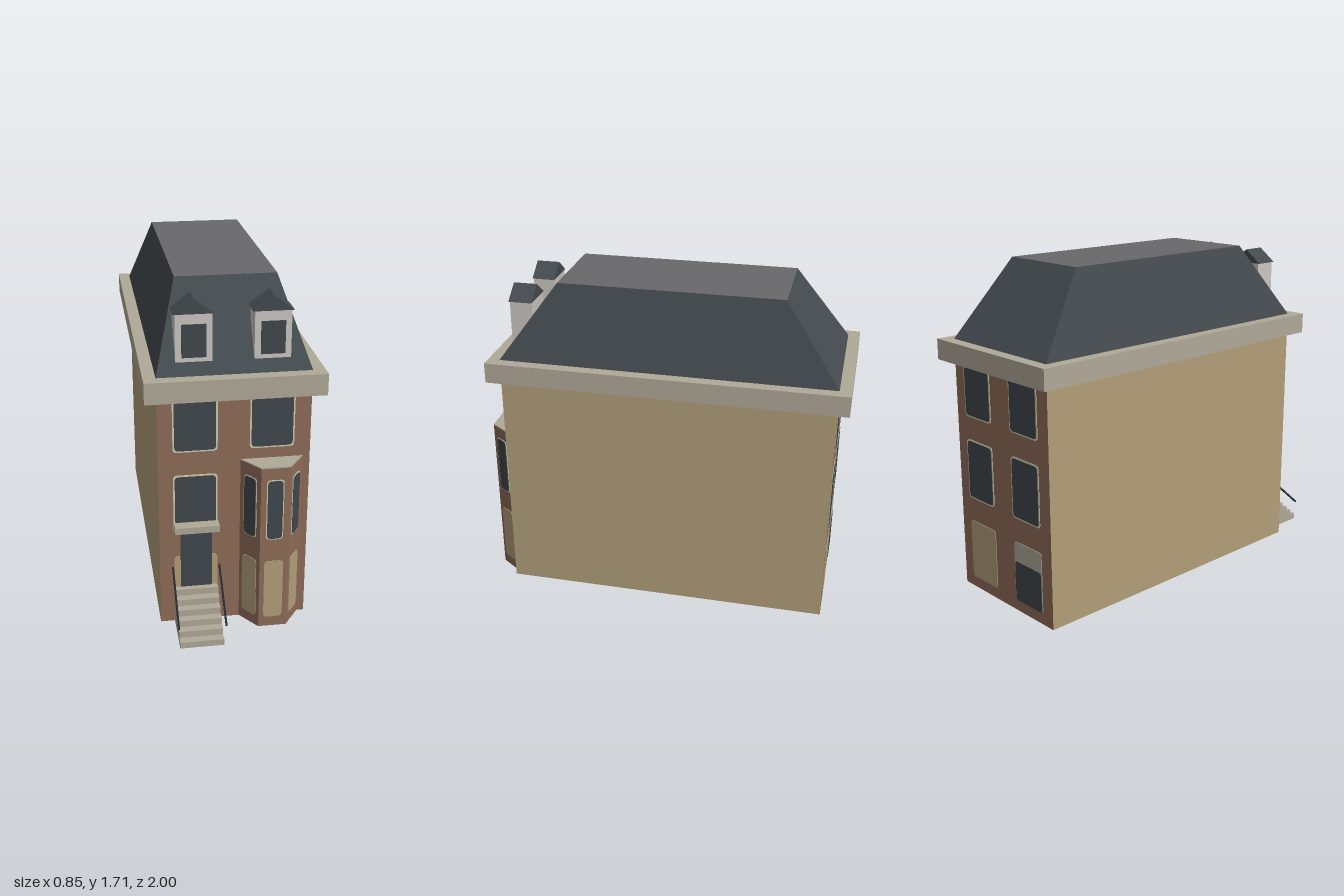
import * as THREE from 'three';

const mat = (name, color, double = false) => {
  const m = new THREE.MeshStandardMaterial({ color });
  m.name = name;
  if (double) m.side = THREE.DoubleSide;
  return m;
};

export function createModel() {
  const brick = mat('brick', 0x8e6b57, true);
  const render = mat('sandRender', 0xb29e79, true);
  const stone = mat('stone', 0xb0a998);
  const slate = mat('slate', 0x434a4e);
  const leadRoof = mat('leadRoof', 0x69676a);
  const glass = mat('darkGlass', 0x40474c);
  const trim = mat('creamTrim', 0xcfcab0);
  const dormerWhite = mat('dormerWhite', 0xcac6c0);
  const iron = mat('iron', 0x23292d);

  const house = new THREE.Group();
  house.name = 'townhouse';

  const add = (parent, name, geo, material, x = 0, y = 0, z = 0) => {
    const m = new THREE.Mesh(geo, material);
    m.name = name;
    m.position.set(x, y, z);
    parent.add(m);
    return m;
  };
  // box given by its limits
  const block = (parent, name, material, x0, x1, y0, y1, z0, z1) =>
    add(parent, name, new THREE.BoxGeometry(x1 - x0, y1 - y0, z1 - z0), material,
      (x0 + x1) / 2, (y0 + y1) / 2, (z0 + z1) / 2);

  // thin rounded plate straddling z = 0 of its parent
  const plate = (parent, name, material, x0, x1, y0, y1, t, r = 0.02) => {
    const s = new THREE.Shape();
    s.moveTo(x0 + r, y0);
    s.lineTo(x1 - r, y0).quadraticCurveTo(x1, y0, x1, y0 + r);
    s.lineTo(x1, y1 - r).quadraticCurveTo(x1, y1, x1 - r, y1);
    s.lineTo(x0 + r, y1).quadraticCurveTo(x0, y1, x0, y1 - r);
    s.lineTo(x0, y0 + r).quadraticCurveTo(x0, y0, x0 + r, y0);
    const g = new THREE.ExtrudeGeometry(s, { depth: t, bevelEnabled: false, curveSegments: 3 });
    return add(parent, name, g, material, 0, 0, -t / 2);
  };
  const framedWindow = (parent, x0, x1, y0, y1, b = 0.008) => {
    plate(parent, 'windowTrim', trim, x0, x1, y0, y1, 0.005);
    plate(parent, 'windowGlass', glass, x0 + b, x1 - b, y0 + b, y1 - b, 0.009);
  };

  // walls, open underneath
  const W = 0.365, H = 1.21, ZF = 0.765, ZB = -0.94;
  for (const s of [1, -1]) {
    const side = add(house, 'sideWall', new THREE.PlaneGeometry(ZF - ZB, H), render, s * W, H / 2, (ZF + ZB) / 2);
    side.rotation.y = s * Math.PI / 2;
  }
  const facade = (name, z, turn) => {
    const g = new THREE.Group();
    g.name = name;
    g.position.z = z;
    g.rotation.y = turn;
    house.add(g);
    add(g, 'brickWall', new THREE.PlaneGeometry(2 * W, H), brick, 0, H / 2, 0);
    for (const c of [-0.187, 0.18]) {
      for (const [y0, y1] of [[0.5, 0.815], [0.935, 1.25]]) framedWindow(g, c - 0.107, c + 0.107, y0, y1);
    }
    return g;
  };
  const front = facade('frontFacade', ZF, 0);
  const back = facade('backFacade', ZB, Math.PI);

  // ground floor panels and windows
  plate(front, 'blindPanel', render, -0.293, -0.08, 0.06, 0.375, 0.006);
  plate(front, 'lowWindow', glass, 0.075, 0.285, 0.04, 0.27, 0.006);
  plate(back, 'blindPanel', render, -0.293, -0.08, 0.06, 0.375, 0.006);
  plate(back, 'windowHead', stone, 0.075, 0.29, 0.06, 0.375, 0.005);
  plate(back, 'lowWindow', glass, 0.08, 0.285, 0.06, 0.27, 0.009);

  // door and canopy
  block(house, 'door', glass, -0.262, -0.107, 0.2, 0.535, ZF - 0.006, ZF + 0.006);
  block(house, 'doorCanopy', stone, -0.293, -0.077, 0.528, 0.562, ZF, ZF + 0.06);

  // entrance steps
  const profile = new THREE.Shape();
  const n = 6, run = 0.24 / n, rise = 0.2 / n;
  profile.moveTo(0.76, 0);
  profile.lineTo(1, 0);
  for (let i = 0; i < n; i++) {
    profile.lineTo(1 - i * run, (i + 1) * rise);
    profile.lineTo(1 - (i + 1) * run, (i + 1) * rise);
  }
  const steps = add(house, 'entranceSteps',
    new THREE.ExtrudeGeometry(profile, { depth: 0.215, bevelEnabled: false }), stone, -0.08);
  steps.rotation.y = -Math.PI / 2;

  // sloping handrails
  for (const x of [-0.3, -0.07]) {
    const rail = add(house, 'handrail', new THREE.BoxGeometry(0.009, 0.009, 0.31), iron, x, 0.21, 0.882);
    rail.rotation.x = Math.atan2(0.197, 0.235);
  }

  // bay window with three canted sides
  const bay = new THREE.Group();
  bay.name = 'bayWindow';
  house.add(bay);
  const plan = [[0.03, ZF], [0.11, 0.875], [0.25, 0.875], [0.33, ZF]];
  const prism = (name, material, y, h) => {
    const s = new THREE.Shape(plan.map(([x, z]) => new THREE.Vector2(x, -z)));
    const g = new THREE.ExtrudeGeometry(s, { depth: h, bevelEnabled: false });
    g.rotateX(-Math.PI / 2);
    add(bay, name, g, material, 0, y, 0);
  };
  prism('bayWalls', brick, 0, 0.875);
  prism('bayRoof', stone, 0.875, 0.006);
  for (let i = 0; i < 3; i++) {
    const [x0, z0] = plan[i], [x1, z1] = plan[i + 1];
    const face = new THREE.Group();
    face.name = 'bayFace';
    face.position.set((x0 + x1) / 2, 0, (z0 + z1) / 2);
    face.rotation.y = Math.atan2(z0 - z1, x1 - x0);
    bay.add(face);
    framedWindow(face, -0.042, 0.042, 0.495, 0.815, 0.005);
    plate(face, 'bayPanel', render, -0.047, 0.047, 0.055, 0.375, 0.006);
  }

  // cornice
  block(house, 'cornice', stone, -0.425, 0.425, H, 1.315, -1, 0.825);

  // mansard roof: a box tapered towards its flat top
  const roofGeo = new THREE.BoxGeometry(1, 1, 1);
  const p = roofGeo.attributes.position;
  for (let i = 0; i < p.count; i++) {
    const top = p.getY(i) > 0, fwd = p.getZ(i) > 0;
    p.setXYZ(i, Math.sign(p.getX(i)) * (top ? 0.245 : W), top ? 1.705 : 1.315,
      fwd ? (top ? 0.48 : ZF) : (top ? -0.657 : ZB));
  }
  roofGeo.computeVertexNormals();
  add(house, 'mansardRoof', roofGeo, [slate, slate, leadRoof, slate, slate, slate]);

  // dormers
  for (const x of [-0.185, 0.182]) {
    const d = new THREE.Group();
    d.name = 'dormer';
    d.position.x = x;
    house.add(d);
    block(d, 'dormerBody', dormerWhite, -0.086, 0.086, 1.37, 1.6, 0.61, 0.725);
    block(d, 'dormerWindow', glass, -0.057, 0.057, 1.392, 1.55, 0.723, 0.731);
    const gable = new THREE.Shape();
    gable.moveTo(-0.096, 1.598);
    gable.lineTo(0.096, 1.598);
    gable.lineTo(0, 1.668);
    add(d, 'dormerRoof', new THREE.ExtrudeGeometry(gable, { depth: 0.121, bevelEnabled: false }), slate, 0, 0, 0.608);
  }
  return house;
}
